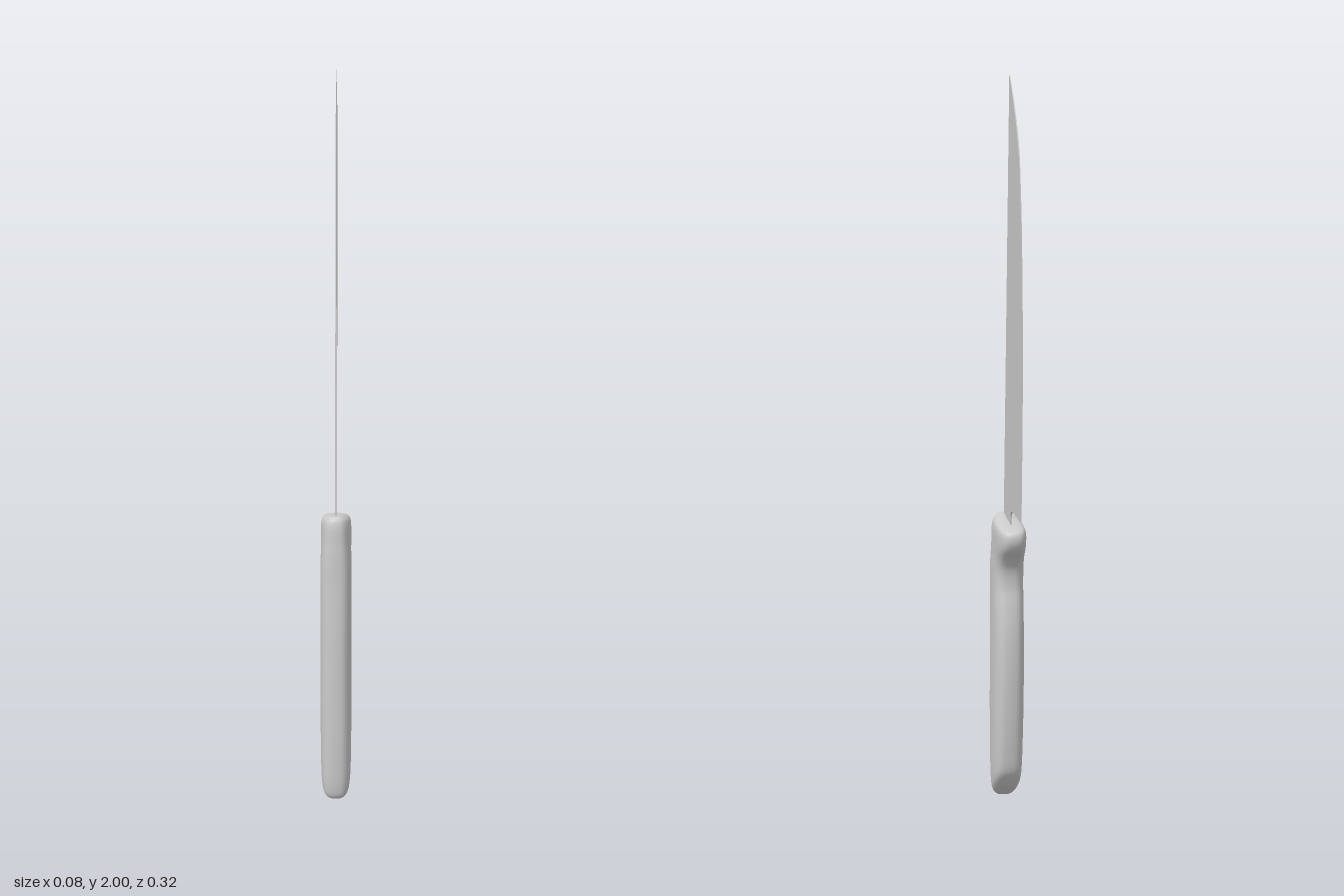
import * as THREE from 'three';

const grey = () => new THREE.MeshStandardMaterial({ color: 0xcccccc });

// Blade: side outline extruded to a thin sheet, thinning towards the edge and the tip
function makeBlade() {
  const s = new THREE.Shape(); // drawn in (-z, y)
  s.moveTo(-0.121, 0.7);
  s.lineTo(-0.016, 0.7);
  s.lineTo(-0.016, 0.785);
  s.quadraticCurveTo(-0.015, 0.806, 0.01, 0.806);
  s.quadraticCurveTo(0.07, 0.808, 0.14, 0.8);
  s.splineThru([
    [0.153, 1.0], [0.161, 1.2], [0.158, 1.4], [0.144, 1.6], [0.129, 1.7],
    [0.109, 1.8], [0.074, 1.873], [0.02, 1.94], [-0.042, 2.0],
  ].map(([u, v]) => new THREE.Vector2(u, v)));
  s.closePath();

  const thickness = 0.006;
  const geo = new THREE.ExtrudeGeometry(s, { depth: thickness, bevelEnabled: false, curveSegments: 10 });
  geo.translate(0, 0, -thickness / 2);
  geo.rotateY(Math.PI / 2);
  const p = geo.attributes.position;
  for (let i = 0; i < p.count; i++) {
    const y = p.getY(i);
    const fromSpine = 0.117 - 0.0615 * (y - 0.78) - p.getZ(i);
    const edge = 1 - 0.75 * THREE.MathUtils.clamp(fromSpine / 0.25, 0, 1);
    const tip = 1 - 0.7 * THREE.MathUtils.smoothstep(y, 1.7, 2);
    p.setX(i, p.getX(i) * Math.min(edge, tip));
  }
  geo.computeVertexNormals();
  const mesh = new THREE.Mesh(geo, grey());
  mesh.name = 'blade';
  return mesh;
}

// Handle: loft of rounded sections, each spanning from a spine point to a belly point
function makeHandle() {
  // [spine z, spine y, belly z, belly y, half width]
  const sections = [
    [0.105, 0.021, 0.105, 0.021, 0],
    [0.135, 0.004, 0.078, 0.036, 0.021],
    [0.148, 0.009, 0.056, 0.06, 0.033],
    [0.154, 0.035, 0.042, 0.083, 0.038],
    [0.157, 0.075, 0.034, 0.125, 0.04],
    [0.159, 0.15, 0.026, 0.18, 0.041],
    [0.16, 0.25, 0.017, 0.27, 0.042],
    [0.16, 0.34, 0.011, 0.36, 0.042],
    [0.159, 0.44, 0.011, 0.47, 0.042],
    [0.156, 0.54, 0.019, 0.545, 0.042],
    [0.154, 0.6, 0.026, 0.59, 0.042],
    [0.153, 0.645, 0.021, 0.64, 0.042],
    [0.152, 0.68, 0, 0.672, 0.041],
    [0.15, 0.71, -0.03, 0.7, 0.041],
    [0.149, 0.735, -0.042, 0.722, 0.041],
    [0.147, 0.757, -0.043, 0.742, 0.04],
    [0.142, 0.774, -0.037, 0.753, 0.035],
    [0.13, 0.782, -0.02, 0.759, 0.022],
    [0.055, 0.772, 0.055, 0.772, 0],
  ];
  const spine = new THREE.CatmullRomCurve3(sections.map(([z, y, , , w]) => new THREE.Vector3(w, y, z)));
  const belly = new THREE.CatmullRomCurve3(sections.map(([, , z, y, w]) => new THREE.Vector3(w, y, z)));

  const rows = (sections.length - 1) * 3, sides = 32, pos = [], index = [];
  const rounded = (v) => Math.sign(v) * Math.pow(Math.abs(v), 0.68);
  for (let r = 0; r <= rows; r++) {
    const a = spine.getPoint(r / rows), b = belly.getPoint(r / rows);
    for (let k = 0; k < sides; k++) {
      const t = (k / sides) * Math.PI * 2;
      const c = rounded(Math.cos(t)) / 2;
      pos.push(Math.max(0, a.x) * rounded(Math.sin(t)), a.y * (0.5 + c) + b.y * (0.5 - c), a.z * (0.5 + c) + b.z * (0.5 - c));
      if (r < rows) {
        const i = r * sides + k, j = r * sides + ((k + 1) % sides);
        index.push(i, j, j + sides, i, j + sides, i + sides);
      }
    }
  }
  const geo = new THREE.BufferGeometry();
  geo.setAttribute('position', new THREE.Float32BufferAttribute(pos, 3));
  geo.setIndex(index);
  geo.computeVertexNormals();
  const mesh = new THREE.Mesh(geo, grey());
  mesh.name = 'handle';
  return mesh;
}

export function createModel() {
  const group = new THREE.Group();
  group.name = 'kitchenKnife';
  group.add(makeBlade(), makeHandle());
  return group;
}
